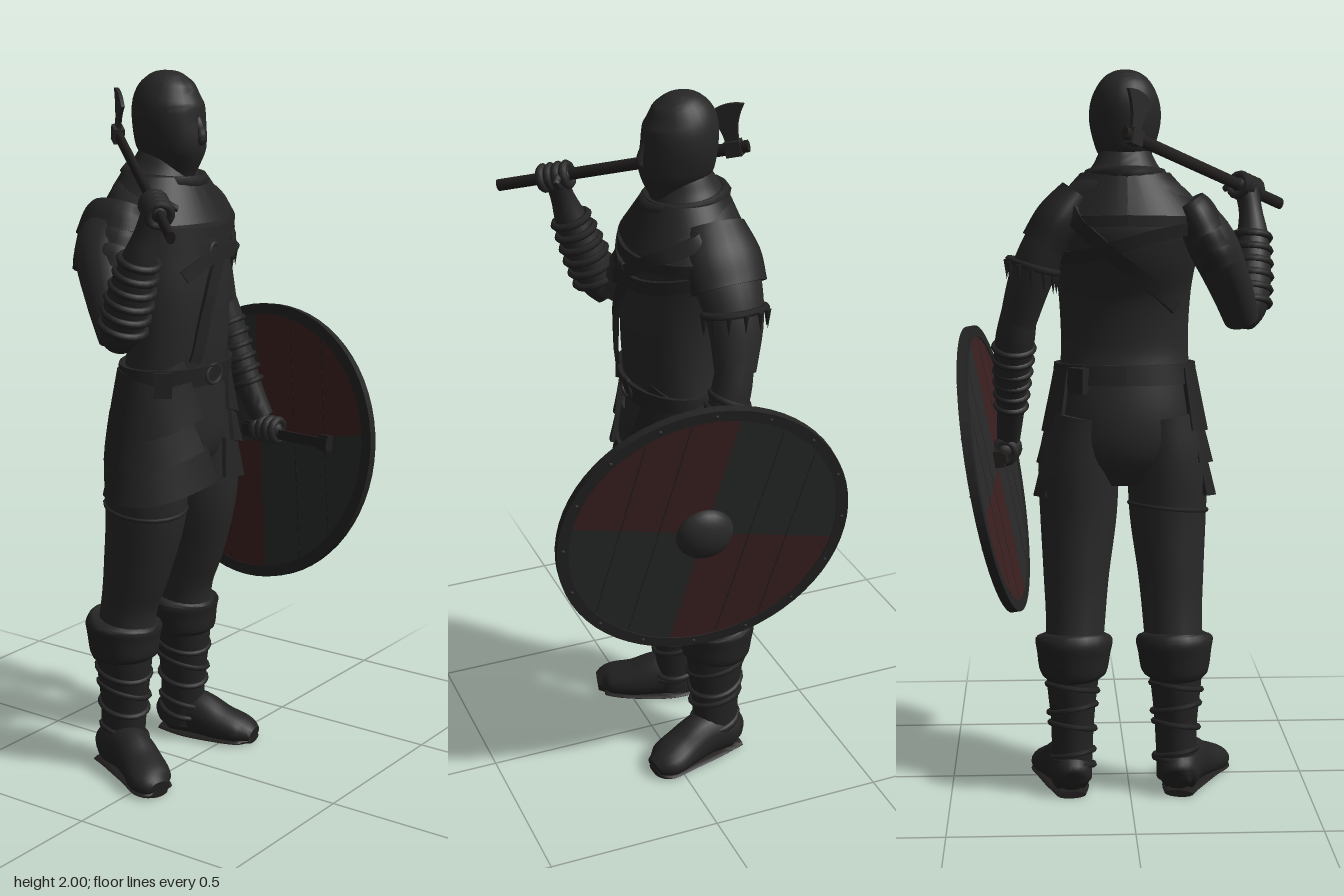
import * as THREE from 'three';
import { toCreasedNormals } from 'three/addons/utils/BufferGeometryUtils.js';

const V = (x, y, z) => new THREE.Vector3(x, y, z);
const Y = V(0, 1, 0), Z = V(0, 0, 1);

export function createModel() {
  const model = new THREE.Group();
  const mat = (name, color) => Object.assign(new THREE.MeshStandardMaterial({ color }), { name });
  const cloth = mat('cloth', 0x282828), leather = mat('leather', 0x232323), skinTone = mat('skin', 0x272626);
  const wood = mat('wood', 0x211f1e), steel = mat('steel', 0x2a2a2a);
  const red = mat('redPaint', 0x3c2020), dark = mat('darkPaint', 0x282a29);

  const add = (name, geo, material, parent = model) => {
    const m = new THREE.Mesh(geo, material);
    m.name = name;
    parent.add(m);
    return m;
  };

  // Closed surface through a list of equal-sized point rings, capped at both ends
  const skin = (rings, crease = 0.9) => {
    const n = rings[0].length, pos = [], idx = [];
    rings.flat().forEach(p => pos.push(p.x, p.y, p.z));
    for (let i = 0; i < rings.length - 1; i++) for (let j = 0; j < n; j++) {
      const a = i * n + j, b = i * n + (j + 1) % n;
      idx.push(a, a + n, b, b, a + n, b + n);
    }
    [0, rings.length - 1].forEach((r, end) => {
      const c = rings[r].reduce((s, p) => s.add(p), V(0, 0, 0)).divideScalar(n), k = pos.length / 3;
      pos.push(c.x, c.y, c.z);
      for (let j = 0; j < n; j++) {
        const a = r * n + j, b = r * n + (j + 1) % n;
        end ? idx.push(k, b, a) : idx.push(k, a, b);
      }
    });
    const g = new THREE.BufferGeometry();
    g.setAttribute('position', new THREE.Float32BufferAttribute(pos, 3));
    g.setIndex(idx);
    return toCreasedNormals(g, crease);
  };

  // Smooth limb through [x, y, z, radiusU, radiusV] stations
  const limb = (pts, { ref = Z, n = 20, steps = 5, floor = -9 } = {}) => {
    const path = new THREE.CatmullRomCurve3(pts.map(p => V(p[0], p[1], p[2])), false, 'catmullrom', 0.5);
    const size = new THREE.CatmullRomCurve3(pts.map(p => V(p[3], p[4] ?? p[3], 0)), false, 'catmullrom', 0.5);
    const rings = [], total = (pts.length - 1) * steps;
    for (let i = 0; i <= total; i++) {
      const c = path.getPoint(i / total), s = size.getPoint(i / total), t = path.getTangent(i / total);
      const u = t.clone().cross(ref).normalize(), v = u.clone().cross(t);
      rings.push(Array.from({ length: n }, (_, j) => {
        const a = j / n * Math.PI * 2;
        const p = c.clone().addScaledVector(u, Math.cos(a) * s.x).addScaledVector(v, Math.sin(a) * s.y);
        p.y = Math.max(p.y, floor);
        return p;
      }));
    }
    return skin(rings);
  };

  // Point on an elliptical body table [x, y, z, rx, rz] (rising y) at angle a (0 = front)
  const onBody = (rows, a, y, off) => {
    let i = 0;
    while (i < rows.length - 2 && rows[i + 1][1] < y) i++;
    const k = THREE.MathUtils.clamp((y - rows[i][1]) / (rows[i + 1][1] - rows[i][1]), 0, 1);
    const [x, , z, rx, rz] = rows[i].map((q, m) => q + (rows[i + 1][m] - q) * k);
    return V(x + Math.sin(a) * (rx + off), y, z + Math.cos(a) * (rz + off));
  };

  // Leather band lying on a body table, along [angle, y] points
  const band = (table, pts, w, offTop = 0.004, offLow = offTop, th = 0.012, steps = 30) => {
    const S = 0.18, curve = new THREE.CatmullRomCurve3(pts.map(p => V(p[0] * S, p[1], 0)));
    const rings = [];
    for (let i = 0; i <= steps; i++) {
      const p = curve.getPoint(i / steps), t = curve.getTangent(i / steps);
      const at = (side, off) => onBody(table, (p.x - side * t.y * w / 2) / S, p.y + side * t.x * w / 2, off);
      rings.push([at(1, offTop + th), at(1, offTop), at(-1, offLow), at(-1, offLow + th)]);
    }
    return skin(rings, 0.6);
  };

  const hoop = (name, p, dir, r, tube, material = leather, squash = 1) => {
    const m = add(name, new THREE.TorusGeometry(r, tube, 6, 20), material);
    m.position.copy(p);
    m.quaternion.setFromUnitVectors(Z, dir.clone().normalize());
    m.scale.y = squash;
    return m;
  };

  // Torso, pelvis and head
  const torso = [[.01, 1.14, -.06, .185, .12], [.01, 1.25, -.045, .176, .12], [.01, 1.4, -.05, .183, .13],
    [.01, 1.52, -.078, .203, .148], [.01, 1.6, -.09, .215, .148], [.01, 1.67, -.1, .175, .125],
    [.01, 1.73, -.095, .1, .095], [.01, 1.78, -.09, .07, .07]];
  add('tunic', limb(torso, { n: 28 }), cloth);
  add('pelvis', limb([[.01, .87, -.07, .09, .08], [.01, .95, -.07, .185, .125], [.01, 1.05, -.07, .195, .135], [.01, 1.2, -.06, .18, .12]], { n: 28 }), cloth);
  add('head', limb([[.01, 1.67, -.1, .075, .08], [.01, 1.74, -.072, .058, .08], [.01, 1.79, -.066, .08, .102],
    [.01, 1.86, -.074, .097, .104], [.01, 1.92, -.077, .092, .1], [.01, 1.97, -.07, .066, .072], [.01, 1.993, -.066, .034, .036], [.01, 2, -.065, .004, .004]], { n: 24 }), skinTone);
  add('nose', limb([[.01, 1.88, .02, .01, .008], [.01, 1.835, .033, .012, .014], [.01, 1.815, .035, .015, .012], [.01, 1.805, .025, .008, .006]], { n: 8, steps: 3 }), skinTone);

  // Cowl, mantle and harness straps
  hoop('cowl', V(.01, 1.715, -.09), V(0, 1, .12), .1, .018, leather, 1.08);
  add('mantle', band(torso, [[-Math.PI, 1.67], [0, 1.66], [Math.PI, 1.67]], .12, .004, .008, .01, 48), leather);
  add('mantleEdge', band(torso, [[-Math.PI, 1.6], [-1.4, 1.59], [0, 1.57], [1.4, 1.59], [Math.PI, 1.6]], .03, .01, .01, .01, 48), leather);
  const straps = [[[-1.2, 1.6], [-.4, 1.54], [.2, 1.51], [1.3, 1.55]], [[1.3, 1.66], [.6, 1.6], [0, 1.52], [-.6, 1.46]],
    [[.1, 1.52], [-.2, 1.4], [-.45, 1.22]], [[1.5, 1.52], [2.4, 1.5], [3.5, 1.56], [4.6, 1.6]], [[2.2, 1.66], [3, 1.5], [3.9, 1.36]]];
  straps.forEach(p => add('harnessStrap', band(torso, p, .035, .01), leather));
  hoop('harnessRing', V(0, 1.52, .085), Z, .022, .006, steel);

  // Belt with buckle and pouches
  add('belt', band(torso, [[-Math.PI, 1.18], [0, 1.175], [Math.PI, 1.18]], .055, .004, .004, .012, 48), leather);
  const buckle = hoop('buckle', V(.01, 1.175, .078), Z, .026, .006, steel);
  buckle.scale.x = 1.3;
  for (const [x, z, r] of [[-.15, .02, -.9], [.14, -.165, 2.5]]) {
    const pouch = add('pouch', new THREE.BoxGeometry(.05, .07, .035), leather);
    pouch.position.set(x, 1.165, z);
    pouch.rotation.y = r;
  }

  // Layered hip plates, rising toward the front
  const hips = [[.01, .78, -.06, .236, .148], [.01, 1, -.06, .21, .138], [.01, 1.2, -.06, .183, .12]];
  for (const s of [-1, 1])
    [[.42, 2.2, 1.1, .17, .012], [.4, 2.15, .985, .12, .016], [.14, 2.05, .885, .11, .014]].forEach(([a, b, y, w, flare]) =>
      add('hipPlate', band(hips, s > 0 ? [[a, y + .045], [1.2, y], [b, y + .01]] : [[-b, y + .01], [-1.2, y], [-a, y + .045]], w, 0, flare), leather));

  // Legs, cuffs, boots and lacing
  for (const s of [-1, 1]) {
    const mx = x => s < 0 ? x : .03 - x, toe = s < 0 ? 1 : .5;
    add('trouserLeg', limb([[mx(-.09), 1.06, -.07, .1, .12], [mx(-.108), .93, -.07, .112, .122], [mx(-.11), .78, -.07, .107, .118],
      [mx(-.117), .62, -.095, .092, .1], [mx(-.12), .5, -.122, .083, .082], [mx(-.125), .4, -.135, .08, .085]]), cloth);
    add('bootShaft', limb([[mx(-.127), .4, -.137, .08, .088], [mx(-.13), .3, -.137, .07, .083], [mx(-.13), .2, -.138, .06, .072], [mx(-.132), .1, -.14, .057, .067], [mx(-.134), .04, -.14, .058, .066]]), leather);
    add('furCuff', limb([[mx(-.127), .335, -.137, .078, .085], [mx(-.127), .35, -.138, .094, .1], [mx(-.126), .4, -.14, .102, .107], [mx(-.125), .44, -.14, .107, .112], [mx(-.125), .455, -.138, .085, .09]]), leather);
    const fx = (base, swing) => mx(base - swing * toe);
    add('bootFoot', limb([[fx(-.134, -.005), .045, -.208, .035, .03], [fx(-.134, 0), .06, -.18, .056, .062], [fx(-.134, .025), .07, -.1, .06, .072],
      [fx(-.134, .062), .048, -.02, .064, .056], [fx(-.134, .105), .034, .04, .063, .042], [fx(-.134, .118), .024, .08, .035, .024]], { ref: Y, floor: 0 }), leather);
    add('bootSole', limb([[fx(-.134, 0), .01, -.21, .04, .01], [fx(-.134, .02), .01, -.12, .06, .01], [fx(-.134, .07), .01, -.01, .065, .01],
      [fx(-.134, .11), .01, .05, .06, .01], [fx(-.134, .118), .01, .08, .03, .01]], { ref: Y, floor: 0 }), wood);
    [.3, .24, .19, .11, .085].forEach((y, i) =>
      hoop('bootLace', V(mx(-.13), y, -.138), V(i % 2 ? .18 : -.15, 1, .2), .061 + Math.max(0, y - .15) * .07, .008, leather, 1.15));
  }
  hoop('thighStrap', V(-.11, .8, -.07), V(-.1, 1, .1), .109, .006, leather, 1.1);

  // Raised right arm
  add('rightUpperArm', limb([[-.16, 1.6, -.12, .075, .095], [-.225, 1.53, -.12, .07, .082], [-.28, 1.42, -.06, .06, .066], [-.32, 1.32, 0, .05, .052]]), cloth);
  add('rightForearm', limb([[-.318, 1.31, 0, .042], [-.34, 1.36, .03, .058], [-.352, 1.45, .065, .058], [-.36, 1.54, .1, .046], [-.357, 1.61, .125, .034], [-.348, 1.67, .145, .034]]), skinTone);
  for (let i = 0; i < 6; i++)
    hoop('rightBracerBand', V(-.342 - i * .003, 1.36 + i * .036, .036 + i * .013), V(-.08, 1, .36), .06 - Math.max(0, i - 2) * .003, .011);

  // Overlapping plates on the right shoulder
  for (let i = 0; i < 3; i++) {
    const x = -.155 - i * .028, y = 1.645 - i * .045, z = -.122 + i * .008;
    add('shoulderPlate', limb([[x, y, z, .05, .08], [x - .018, y - .03, z, .062, .1], [x - .038, y - .075, z + .004, .068 - i * .003, .112 - i * .008]]), leather);
  }

  // Lowered left arm
  add('leftUpperArm', limb([[.16, 1.61, -.12, .07, .1], [.215, 1.55, -.125, .064, .095], [.265, 1.45, -.13, .06, .078], [.305, 1.32, -.115, .05, .056]]), cloth);
  add('leftForearm', limb([[.298, 1.36, -.12, .048], [.313, 1.27, -.1, .054], [.323, 1.18, -.07, .05], [.328, 1.06, -.015, .038], [.335, .98, .025, .033]]), skinTone);
  for (let i = 0; i < 6; i++)
    hoop('leftBracerBand', V(.316 + i * .002, 1.25 - i * .034, -.095 + i * .0145), V(.05, -1, .42), .053 - i * .0025, .01);
  add('leftShoulderCape', limb([[.14, 1.67, -.12, .05, .085], [.19, 1.6, -.122, .066, .108], [.232, 1.53, -.126, .066, .106]]), leather);
  hoop('armBand', V(.262, 1.475, -.13), V(.28, -1, 0), .066, .01, leather, 1.35);
  for (let i = 0; i < 12; i++) {
    const a = i / 12 * Math.PI * 2, tassel = add('armTassel', new THREE.ConeGeometry(.009, .055, 5), leather);
    tassel.position.set(.266 + Math.cos(a) * .067, 1.445 + Math.cos(a) * .02, -.13 + Math.sin(a) * .09);
    tassel.rotation.x = Math.PI;
  }

  // Fists: palm plus curled fingers round a grip
  const fist = (name, p, axis) => {
    const g = new THREE.Group();
    g.name = name;
    const palm = add('palm', new THREE.SphereGeometry(1, 14, 10), skinTone, g);
    palm.scale.set(.035, .036, .05);
    for (let i = 0; i < 4; i++)
      add('finger', new THREE.TorusGeometry(.03, .012, 6, 14), skinTone, g).position.z = -.036 + i * .024;
    g.position.copy(p);
    g.quaternion.setFromUnitVectors(Z, axis.clone().normalize());
    model.add(g);
  };

  // Axe resting over the shoulder
  const butt = V(-.46, 1.63, .28), d = V(.48, .2, -.55), len = d.length();
  d.normalize();
  const up = Y.clone().addScaledVector(d, -d.y).normalize();
  const axe = new THREE.Group();
  axe.name = 'axe';
  axe.position.copy(butt);
  axe.quaternion.setFromRotationMatrix(new THREE.Matrix4().makeBasis(d, up, d.clone().cross(up)));
  model.add(axe);
  const haft = add('axeHaft', new THREE.CylinderGeometry(.017, .017, len, 10), wood, axe);
  haft.rotation.z = -Math.PI / 2;
  haft.position.x = len / 2;
  haft.scale.z = .7;
  const blade = new THREE.Shape();
  blade.moveTo(-.024, -.02);
  blade.lineTo(.024, -.02);
  blade.quadraticCurveTo(.006, .055, .058, .115);
  blade.quadraticCurveTo(0, .135, -.056, .1);
  blade.quadraticCurveTo(-.006, .055, -.024, -.02);
  add('axeBlade', new THREE.ExtrudeGeometry(blade, { depth: .01, bevelEnabled: false }), steel, axe).position.set(.715, 0, -.005);
  add('axeEye', new THREE.BoxGeometry(.046, .042, .03), steel, axe).position.x = .715;
  fist('rightHand', butt.clone().addScaledVector(d, len * .24), d);
  add('rightThumb', limb([[-.35, 1.65, .13, .014], [-.315, 1.685, .15, .013], [-.285, 1.675, .17, .009]], { n: 8 }), skinTone);

  // Round shield: local +z is the outer face, +y up
  const sUp = V(.17, .98, 0).normalize(), sOut = V(.97, -.17, .108).normalize();
  const sSide = sUp.clone().cross(sOut).normalize();
  const shield = new THREE.Group();
  shield.name = 'shield';
  shield.position.set(.373, .897, 0);
  shield.quaternion.setFromRotationMatrix(new THREE.Matrix4().makeBasis(sSide, sOut.clone().cross(sSide), sOut));
  model.add(shield);
  const boards = new THREE.Group();
  boards.name = 'shieldBoards';
  boards.rotation.z = -.187;
  shield.add(boards);
  const quarter = new THREE.Shape();
  quarter.moveTo(0, 0);
  quarter.lineTo(.38, 0);
  quarter.absarc(0, 0, .38, 0, Math.PI / 2, false);
  quarter.lineTo(0, 0);
  const quarterGeo = new THREE.ExtrudeGeometry(quarter, { depth: .018, bevelEnabled: false, curveSegments: 16 });
  for (let q = 0; q < 4; q++) {
    const m = add('shieldQuarter', quarterGeo, q % 2 ? red : dark, boards);
    m.position.z = -.009;
    m.rotation.z = q * Math.PI / 2;
  }
  for (const x of [-.24, -.13, .13, .24])
    add('plankSeam', new THREE.BoxGeometry(.003, 2 * Math.sqrt(.37 ** 2 - x * x), .019), wood, boards).position.x = x;
  const rim = new THREE.Shape().absarc(0, 0, .407, 0, Math.PI * 2);
  rim.holes.push(new THREE.Path().absarc(0, 0, .375, 0, Math.PI * 2, true));
  add('shieldRim', new THREE.ExtrudeGeometry(rim, { depth: .024, bevelEnabled: false, curveSegments: 32 }), leather, shield).position.z = -.012;
  const boss = add('shieldBoss', new THREE.SphereGeometry(.08, 24, 8, 0, Math.PI * 2, 0, Math.PI / 2), steel, shield);
  boss.rotation.x = Math.PI / 2;
  boss.scale.y = .6;
  boss.position.z = .008;
  for (let i = 0; i < 16; i++) {
    const a = i / 16 * Math.PI * 2;
    add('rimNail', new THREE.SphereGeometry(.006, 6, 4), steel, shield).position.set(Math.cos(a) * .39, Math.sin(a) * .39, .011);
  }
  add('shieldGrip', new THREE.BoxGeometry(.32, .028, .016), wood, shield).position.set(-.11, .03, -.035);
  for (const x of [-.25, .03]) add('gripMount', new THREE.BoxGeometry(.035, .045, .03), wood, shield).position.set(x, .03, -.02);
  fist('leftHand', V(.342, .945, .04), sSide);

  return model;
}
